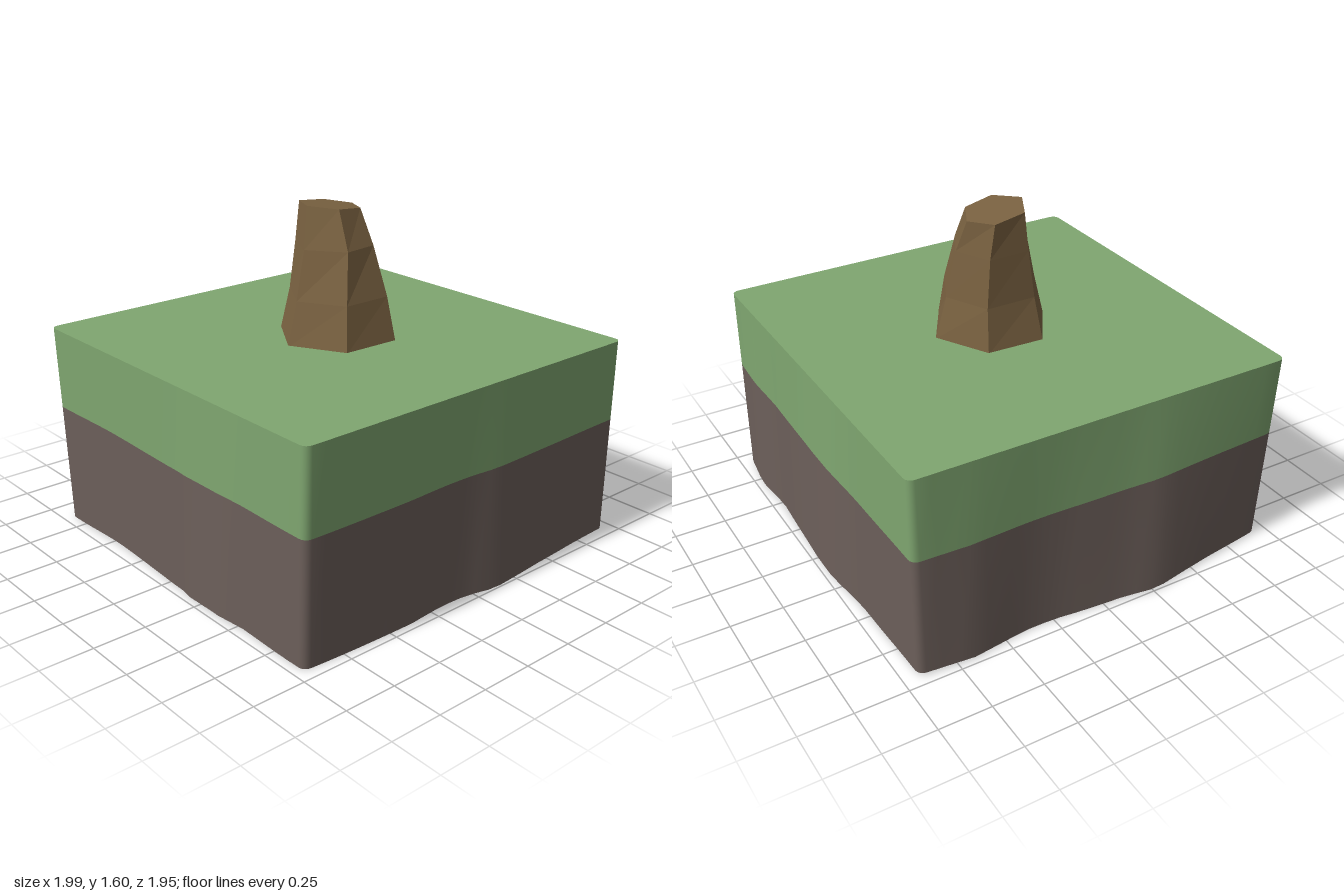
import * as THREE from 'three';
import { toCreasedNormals } from 'three/addons/utils/BufferGeometryUtils.js';

const X0 = -0.93, X1 = 0.967, Z0 = -0.94, Z1 = 0.957, TOP = 0.978, SEAM = 0.585;

// Piecewise-linear lookup in a list of [position, value]
function lookup(keys, t) {
  if (t <= keys[0][0]) return keys[0][1];
  for (let i = 1; i < keys.length; i++) {
    const [a, va] = keys[i - 1], [b, vb] = keys[i];
    if (t <= b) return va + (vb - va) * (t - a) / (b - a);
  }
  return keys[keys.length - 1][1];
}

// How far each wall's foot swings from its top edge
const LEFT = [[-0.94, -0.02], [-0.68, -0.042], [-0.4, 0], [-0.25, 0], [-0.1, -0.02], [0.1, -0.04], [0.27, -0.07], [0.64, 0], [0.95, 0.05]];
const RIGHT = [[-0.94, -0.02], [-0.7, -0.015], [-0.42, 0], [-0.1, 0.033], [0.05, 0], [0.2, -0.004], [0.4, 0.01], [0.57, 0], [0.95, -0.025]];
const BACK = [[-0.93, 0.01], [-0.4, 0], [-0.15, -0.036], [0.0, -0.038], [0.5, -0.004], [0.73, -0.03], [0.96, 0]];
const FRONT = [[-0.93, -0.01], [-0.5, -0.015], [-0.1, -0.01], [0.12, 0], [0.17, 0.012], [0.45, 0.018], [0.5, 0], [0.96, -0.005]];

// Skin between closed rings listed from bottom to top, counterclockwise from above
function skin(rings) {
  const n = rings[0].length, index = [];
  for (let r = 0; r < rings.length - 1; r++) {
    for (let i = 0; i < n; i++) {
      const a = r * n + i, b = r * n + (i + 1) % n;
      index.push(a, b, b + n, a, b + n, a + n);
    }
  }
  const g = new THREE.BufferGeometry();
  g.setAttribute('position', new THREE.Float32BufferAttribute(rings.flat(2), 3));
  g.setIndex(index);
  return g;
}

// Rounded square outline in (x, -z), counterclockwise
function outline() {
  const r = 0.035, steps = 24, pts = [];
  const corners = [[X1 - r, -Z1 + r, -90], [X1 - r, -Z0 - r, 0], [X0 + r, -Z0 - r, 90], [X0 + r, -Z1 + r, 180]];
  corners.forEach(([cx, cy, start], k) => {
    for (let j = 0; j <= 4; j++) {
      const a = THREE.MathUtils.degToRad(start + j * 22.5);
      pts.push(new THREE.Vector2(cx + r * Math.cos(a), cy + r * Math.sin(a)));
    }
    const [nx, ny, ns] = corners[(k + 1) % 4], a = THREE.MathUtils.degToRad(ns);
    const from = pts[pts.length - 1];
    const to = new THREE.Vector2(nx + r * Math.cos(a), ny + r * Math.sin(a));
    for (let j = 1; j < steps; j++) pts.push(from.clone().lerp(to, j / steps));
  });
  return pts;
}

export function createModel() {
  const group = new THREE.Group();
  const grass = new THREE.MeshStandardMaterial({ color: 0x7fa670, side: THREE.DoubleSide });
  const earth = new THREE.MeshStandardMaterial({ color: 0x6c5f5a, side: THREE.DoubleSide });
  const wood = new THREE.MeshStandardMaterial({ color: 0x7a6241, flatShading: true, side: THREE.DoubleSide });
  const add = (name, geometry, material) => {
    const mesh = new THREE.Mesh(geometry, material);
    mesh.name = name;
    group.add(mesh);
  };

  // Wall ring: amount 0 is the top outline, 1 the wavy foot
  const pts = outline();
  const ring = (amount, y, wave) => pts.map(p => {
    const x = p.x, z = -p.y;
    const dx = THREE.MathUtils.lerp(lookup(LEFT, z), lookup(RIGHT, z), (x - X0) / (X1 - X0));
    const dz = THREE.MathUtils.lerp(lookup(BACK, x), lookup(FRONT, x), (z - Z0) / (Z1 - Z0));
    return [x + dx * amount, y + wave * Math.sin(7 * x + 5 * z), z + dz * amount];
  });
  const foot = ring(1, 0.006, 0.006);
  const seam = ring(1 - SEAM / TOP, SEAM, 0.003);
  const rim = ring(0, TOP, 0);

  add('earthWalls', toCreasedNormals(skin([foot, seam]), 0.6), earth);
  add('grassWalls', toCreasedNormals(skin([seam, rim]), 0.6), grass);

  // Grass top, the block is open underneath
  const top = new THREE.ShapeGeometry(new THREE.Shape(pts));
  top.rotateX(-Math.PI / 2).translate(0, TOP, 0);
  add('grassTop', top, grass);

  // Bent six-sided trunk with a slanted cut
  const trunk = [
    [0.97, 0, [[0.04, -0.297], [0.285, -0.15], [0.275, 0.14], [0.02, 0.275], [-0.225, 0.12], [-0.213, -0.16]]],
    [1.18, 0, [[0.025, -0.245], [0.235, -0.14], [0.235, 0.105], [0.025, 0.225], [-0.178, 0.1], [-0.178, -0.145]]],
    [1.41, 0, [[0.0, -0.205], [0.16, -0.12], [0.183, 0.055], [0.02, 0.175], [-0.163, 0.075], [-0.167, -0.125]]],
    [1.585, 0.12, [[-0.05, -0.175], [0.08, -0.11], [0.105, 0.04], [-0.01, 0.132], [-0.152, 0.06], [-0.167, -0.1]]],
  ].map(([y, tilt, corners]) => corners.map(([x, z]) => [x, y + tilt * z, z]).reverse());
  trunk.push(trunk[3].map(() => [-0.03, 1.582, -0.025]));
  const trunkGeometry = skin(trunk).toNonIndexed();
  trunkGeometry.computeVertexNormals();
  add('trunk', trunkGeometry, wood);

  return group;
}
